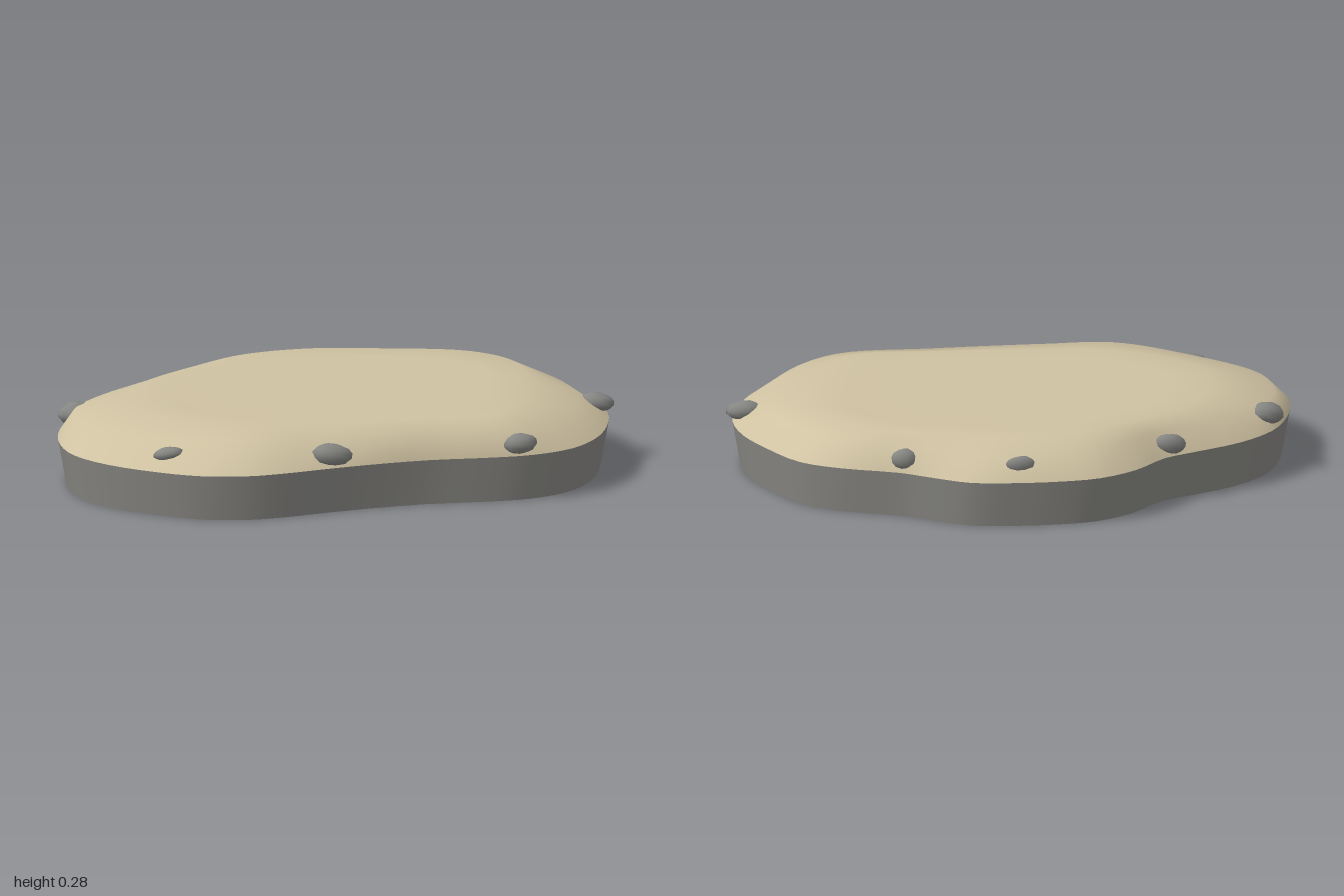
import * as THREE from 'three';

const SEG = 96;

// Closed smooth loop through [x, y, z] points, sampled evenly by control point
function loop(points) {
  const curve = new THREE.CatmullRomCurve3(points.map(p => new THREE.Vector3(...p)), true, 'centripetal');
  return Array.from({ length: SEG }, (_, i) => curve.getPoint(i / SEG));
}

// Skin between successive rings, listed from the outside/bottom up to the centre
function skin(rings) {
  const pos = [], index = [];
  for (const ring of rings) for (const p of ring) pos.push(p.x, p.y, p.z);
  for (let r = 0; r < rings.length - 1; r++) {
    for (let j = 0; j < SEG; j++) {
      const a = r * SEG + j, b = r * SEG + (j + 1) % SEG;
      index.push(a, a + SEG, b, b, a + SEG, b + SEG);
    }
  }
  const g = new THREE.BufferGeometry();
  g.setAttribute('position', new THREE.Float32BufferAttribute(pos, 3));
  g.setIndex(index);
  g.computeVertexNormals();
  return g;
}

const scaled = (ring, s, y) => ring.map(p => new THREE.Vector3(p.x * s, y, p.z * s));

export function createModel() {
  const group = new THREE.Group();
  const sand = new THREE.MeshStandardMaterial({ name: 'sand', color: 0xcfc2a2, side: THREE.DoubleSide });
  const rock = new THREE.MeshStandardMaterial({ name: 'rock', color: 0x8a8985, side: THREE.DoubleSide });
  const stone = new THREE.MeshStandardMaterial({ name: 'stone', color: 0x868683 });

  const add = (name, geometry, material) => {
    const mesh = new THREE.Mesh(geometry, material);
    mesh.name = name;
    group.add(mesh);
    return mesh;
  };

  // Shore outline, clockwise from the back
  const shore = loop([
    [0, -.685], [.165, -.675], [.3, -.61], [.41, -.55], [.62, -.485], [.755, -.41], [.86, -.26], [.94, -.1],
    [.97, .06], [.94, .235], [.875, .39], [.77, .51], [.62, .572], [.46, .583], [.245, .58], [.03, .605],
    [-.13, .635], [-.29, .67], [-.42, .683], [-.58, .655], [-.72, .58], [-.88, .45], [-.975, .31], [-1, .165],
    [-.98, .005], [-.92, -.145], [-.8, -.27], [-.64, -.365], [-.53, -.43], [-.42, -.56], [-.29, -.645], [-.155, -.675],
  ].map(([x, z]) => [x, .165, z]));

  // Shoulder of the slope, a little higher and steeper along the front
  const shoulder = loop([
    [0, .24, -.63], [.27, .245, -.56], [.58, .25, -.44], [.77, .245, -.24],
    [.86, .243, .06], [.77, .245, .36], [.58, .255, .53], [.24, .263, .55],
    [-.15, .268, .565], [-.4, .268, .57], [-.63, .252, .49], [-.9, .243, .27],
    [-.93, .243, .01], [-.75, .245, -.22], [-.49, .245, -.39], [-.27, .243, -.58],
  ]);

  // Edge of the flat plateau
  const plateau = loop([
    [0, -.52], [.25, -.48], [.56, -.39], [.69, -.23], [.68, .05], [.62, .3], [.52, .43], [.22, .45],
    [-.13, .45], [-.38, .43], [-.55, .36], [-.69, .22], [-.72, .02], [-.64, -.18], [-.43, -.36], [-.24, -.48],
  ].map(([x, z]) => [x, .284, z]));

  // Open-bottomed rock wall and the sandy ground on top
  add('rockWall', skin([scaled(shore, .97, 0), shore]), rock);
  add('sandTop', skin([
    shore, shoulder, plateau, scaled(plateau, .8, .281), scaled(plateau, .4, .28), scaled(plateau, 0, .28),
  ]), sand);

  // Rounded, slightly lumpy pebble
  const pebble = new THREE.SphereGeometry(1, 10, 7);
  const p = pebble.attributes.position;
  for (let i = 0; i < p.count; i++) {
    const x = p.getX(i), y = p.getY(i), z = p.getZ(i);
    const k = 1 + .07 * Math.sin(3 * x + 2 * z) * Math.cos(2.5 * y);
    p.setXYZ(i, x * k, y * k, z * k);
  }
  pebble.computeVertexNormals();

  // Pebbles around the shore: x, y, z, radii x y z, turn, tilt
  [
    [-.9, .21, -.08, .07, .04, .055, .4, .1],
    [-.55, .205, -.39, .058, .036, .032, .15, .15],
    [-.01, .22, -.64, .052, .03, .022, .05, 0],
    [.395, .21, -.53, .046, .038, .032, -.25, -.1],
    [.93, .205, .065, .064, .034, .042, -.1, -.08],
    [.575, .205, .56, .062, .036, .04, .15, .05],
    [-.105, .207, .603, .074, .04, .042, 0, -.1],
    [-.675, .215, .522, .055, .024, .028, -.15, .15],
  ].forEach(([x, y, z, rx, ry, rz, turn, tilt], i) => {
    const mesh = add('pebble' + (i + 1), pebble, stone);
    mesh.position.set(x, y, z);
    mesh.scale.set(rx, ry, rz);
    mesh.rotation.set(0, turn, tilt);
  });

  return group;
}
